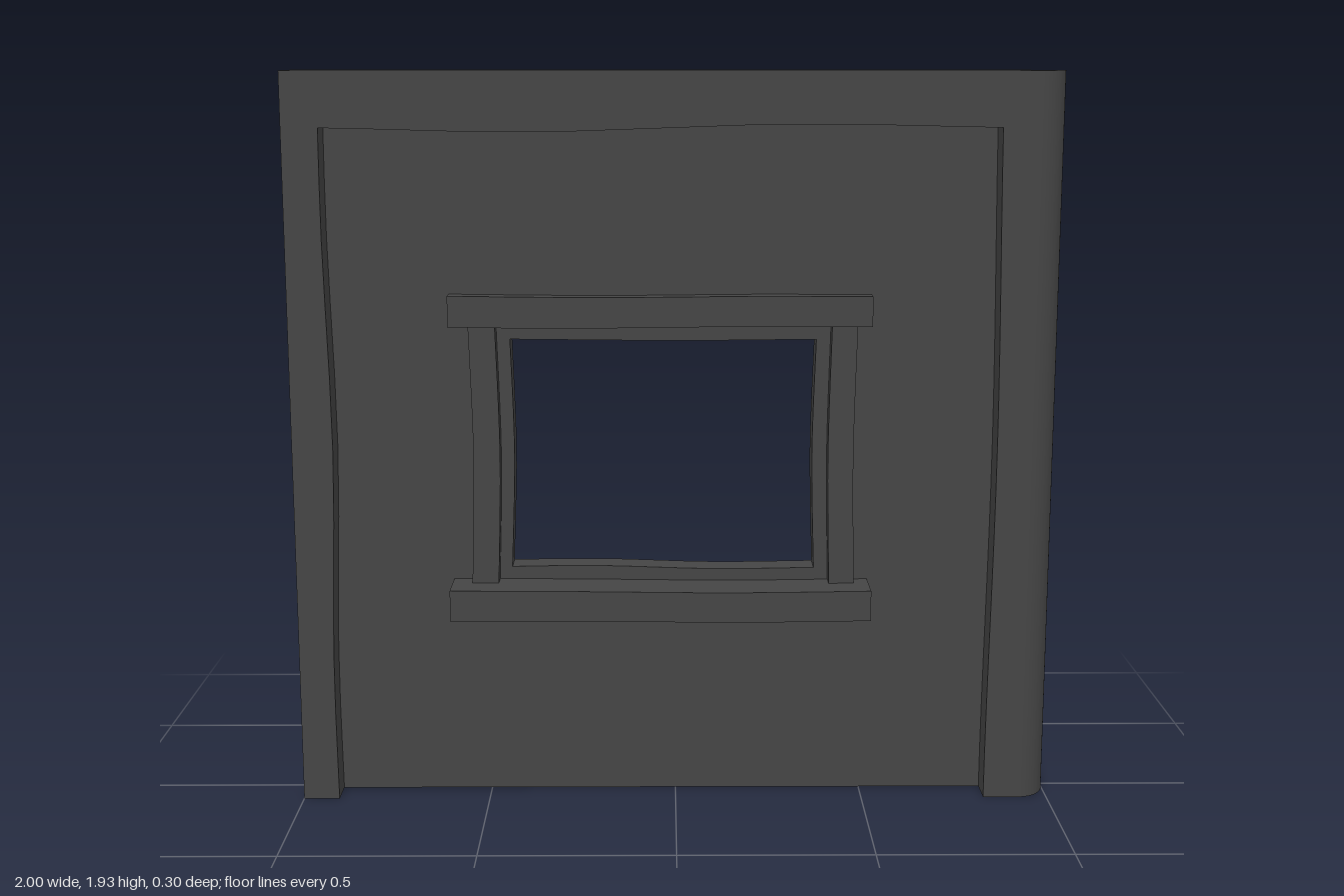
import * as THREE from 'three';
import { toCreasedNormals } from 'three/addons/utils/BufferGeometryUtils.js';

const material = new THREE.MeshStandardMaterial({ color: 0x454545 });

// Samples a smooth hand-cut edge through a few points.
function edge(...points) {
  return new THREE.SplineCurve(points.map(([x, y]) => new THREE.Vector2(x, y))).getPoints(12);
}

// Corners of a rectangle, counter-clockwise.
function rectangle(x0, y0, x1, y1) {
  return [[x0, y0], [x1, y0], [x1, y1], [x0, y1]].map(([x, y]) => new THREE.Vector2(x, y));
}

// Closed outline from several edges, given counter-clockwise.
function outline(...edges) {
  return new THREE.Shape(edges.flat());
}

function addMesh(group, name, geometry) {
  const mesh = new THREE.Mesh(toCreasedNormals(geometry, 0.5), material);
  mesh.name = name;
  group.add(mesh);
}

// Flat board cut from a shape, running from z0 (back) to z1 (front).
function addBoard(group, name, shape, z0, z1) {
  const geometry = new THREE.ExtrudeGeometry(shape, { depth: z1 - z0, bevelEnabled: false });
  geometry.translate(0, 0, z0);
  addMesh(group, name, geometry);
}

export function createModel() {
  const model = new THREE.Group();
  model.name = 'wallWithWindow';

  // Wall panel with the window hole
  const panel = outline(rectangle(-1, 0, 0.923, 1.93));
  panel.holes.push(new THREE.Path(rectangle(-0.53, 0.55, 0.465, 1.31)));
  addBoard(model, 'wallPanel', panel, -0.062, 0.02);

  // Raised post on the right edge, with a wavy inner side
  addBoard(model, 'rightPost', outline(
    edge([-1, 0], [-0.905, 0]),
    edge([-0.905, 0], [-0.908, 0.4], [-0.893, 0.95], [-0.905, 1.5], [-0.905, 1.85]),
    edge([-0.905, 1.85], [-1, 1.85])), 0, 0.103);

  // Top beam, standing out at front and back
  addBoard(model, 'topBeam', outline(
    edge([-1, 1.785], [-0.9, 1.787], [-0.35, 1.776], [0.28, 1.796], [0.83, 1.787], [0.923, 1.785]),
    edge([0.923, 1.93], [-1, 1.93])), -0.137, 0.103);

  // Left corner post with a rounded outer corner
  const foot = new THREE.Shape();
  foot.moveTo(0.83, 0.016);
  foot.lineTo(0.83, -0.103);
  foot.lineTo(0.923, -0.103);
  foot.absellipse(0.923, -0.013, 0.077, 0.09, -Math.PI / 2, 0, false);
  foot.lineTo(1, 0.016);
  const corner = new THREE.ExtrudeGeometry(foot, { depth: 1.93, steps: 16, bevelEnabled: false, curveSegments: 14 });
  corner.rotateX(-Math.PI / 2);
  const p = corner.attributes.position;
  for (let i = 0; i < p.count; i++) {
    if (p.getX(i) < 0.85) p.setX(i, 0.83 + 0.01 * Math.sin(Math.PI * p.getY(i) / 1.93) ** 2);
  }
  addMesh(model, 'leftCornerPost', corner);

  // Window surround
  const windowGroup = new THREE.Group();
  windowGroup.name = 'window';
  model.add(windowGroup);

  addBoard(windowGroup, 'header', outline(
    edge([-0.592, 1.274], [-0.3, 1.27], [0.1, 1.274], [0.513, 1.274]),
    edge([0.513, 1.353], [0.2, 1.354], [-0.2, 1.351], [-0.592, 1.355])), -0.11, 0.067);

  addBoard(windowGroup, 'sill', outline(
    edge([-0.592, 0.505], [-0.2, 0.506], [0.15, 0.502], [0.513, 0.506]),
    edge([0.513, 0.587], [0.15, 0.583], [-0.25, 0.587], [-0.592, 0.589])), -0.148, 0.148);

  // Slightly bowed jambs
  for (const [name, x, width, bow] of [['rightJamb', -0.54, 0.07, 0.009], ['leftJamb', 0.408, 0.067, -0.007]]) {
    addBoard(windowGroup, name, outline(
      edge([x + width, 0.575], [x + width + bow, 0.93], [x + width, 1.28]),
      edge([x, 1.28], [x + bow, 0.93], [x, 0.575])), -0.106, 0.063);
  }

  // Inner frame around the opening, as deep as the wall
  const frame = outline(rectangle(-0.5, 0.57, 0.44, 1.285));
  frame.holes.push(outline(
    edge([-0.436, 0.622], [-0.2, 0.624], [0.1, 0.615], [0.37, 0.618]),
    edge([0.37, 0.618], [0.362, 0.93], [0.37, 1.235]),
    edge([0.37, 1.235], [0, 1.232], [-0.434, 1.236]),
    edge([-0.434, 1.236], [-0.426, 0.93], [-0.436, 0.622])));
  addBoard(windowGroup, 'innerFrame', frame, -0.06, 0.018);

  return model;
}
